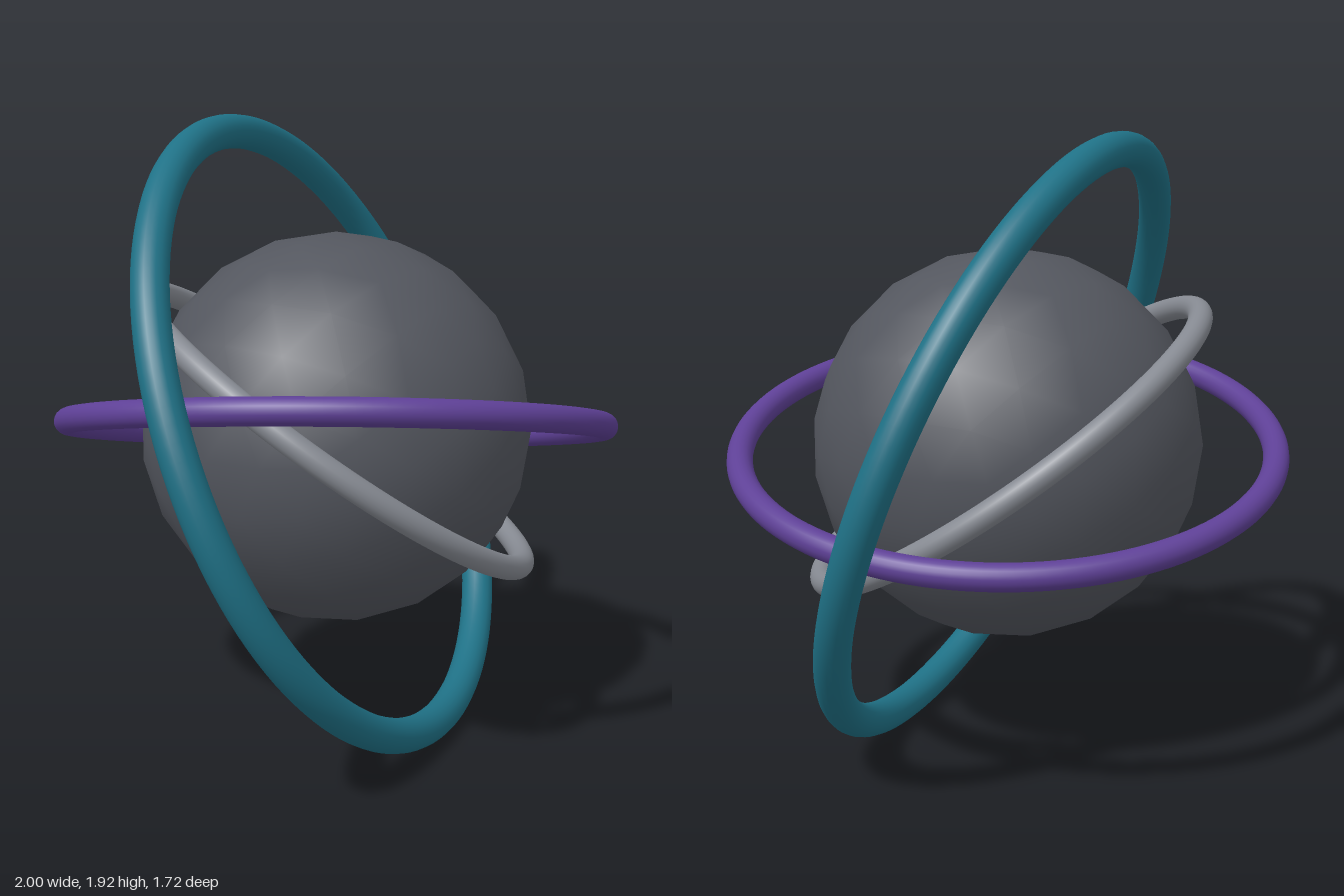
import * as THREE from 'three';

const CENTRE_Y = 0.957;

// Torus centred on the core, its axis turned to the given direction
function makeRing(name, radius, tube, axis, color) {
  const mesh = new THREE.Mesh(
    new THREE.TorusGeometry(radius, tube, 20, 128),
    new THREE.MeshStandardMaterial({ color })
  );
  mesh.name = name;
  mesh.position.y = CENTRE_Y;
  mesh.quaternion.setFromUnitVectors(
    new THREE.Vector3(0, 0, 1),
    new THREE.Vector3(...axis).normalize()
  );
  return mesh;
}

export function createModel() {
  const group = new THREE.Group();
  group.name = 'ringedSphere';

  // Smooth-shaded icosphere core
  const core = new THREE.Mesh(
    new THREE.IcosahedronGeometry(0.608, 3),
    new THREE.MeshStandardMaterial({ color: 0x53565e })
  );
  core.name = 'coreSphere';
  core.position.y = CENTRE_Y;
  group.add(core);

  // Three tilted orbit rings, from the inside out
  group.add(
    makeRing('innerRing', 0.718, 0.037, [0.366, 0.818, 0.444], 0x868a92),
    makeRing('middleRing', 0.832, 0.04, [0.206, 0.967, -0.147], 0x5e4096),
    makeRing('outerRing', 0.975, 0.053, [0.244, 0.371, 0.896], 0x1f7186)
  );
  return group;
}
